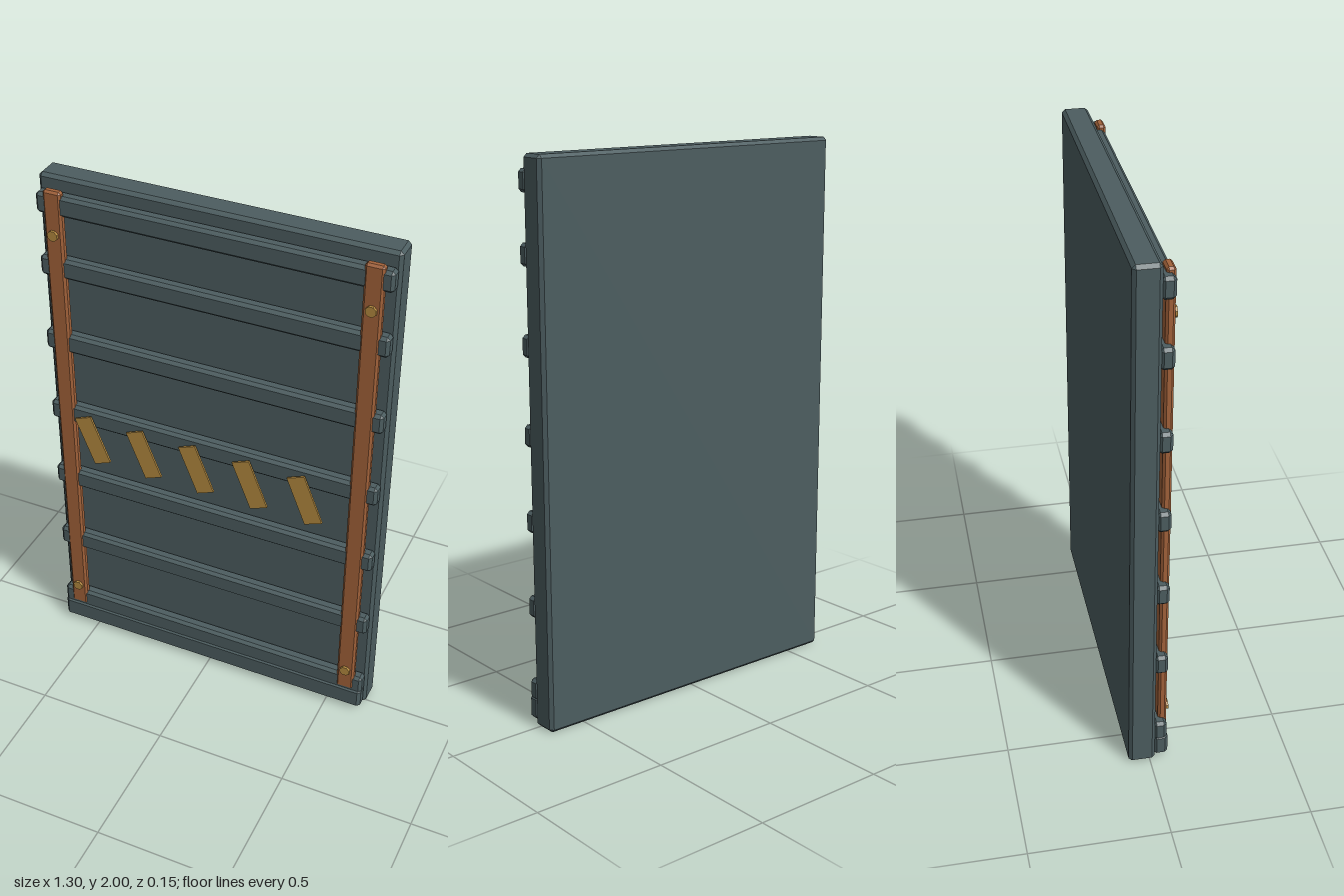
import * as THREE from 'three';
import { ConvexGeometry } from 'three/addons/geometries/ConvexGeometry.js';

const steel = new THREE.MeshStandardMaterial({ name: 'blue grey steel', color: 0x4c5d60 });
const copper = new THREE.MeshStandardMaterial({ name: 'copper', color: 0xa2623a });
const brass = new THREE.MeshStandardMaterial({ name: 'brass', color: 0xb48a40 });

// Box with a flat chamfer c on every edge, given by its limits
function chamferBox(name, material, [x0, x1], [y0, y1], [z0, z1], c) {
  const half = [(x1 - x0) / 2, (y1 - y0) / 2, (z1 - z0) / 2];
  const points = [];
  for (const sx of [-1, 1]) for (const sy of [-1, 1]) for (const sz of [-1, 1]) {
    for (let face = 0; face < 3; face++) {
      const h = half.map((v, i) => (i === face ? v : v - c));
      points.push(new THREE.Vector3(sx * h[0], sy * h[1], sz * h[2]));
    }
  }
  const mesh = new THREE.Mesh(new ConvexGeometry(points), material);
  mesh.name = name;
  mesh.position.set((x0 + x1) / 2, (y0 + y1) / 2, (z0 + z1) / 2);
  return mesh;
}

export function createModel() {
  const model = new THREE.Group();
  model.name = 'shutterPanel';

  // Backing slab
  model.add(chamferBox('backPanel', steel, [-0.648, 0.648], [0, 2], [-0.077, 0.019], 0.012));

  // Horizontal ribs across the front
  for (const y of [0.125, 0.435, 0.745, 1.05, 1.36, 1.667, 1.91]) {
    model.add(chamferBox('rib', steel, [-0.64, 0.64], [y - 0.039, y + 0.039], [0.015, 0.063], 0.011));
  }

  // Thicker bottom bar
  model.add(chamferBox('bottomBar', steel, [-0.64, 0.64], [0.012, 0.102], [0.015, 0.068], 0.012));

  // Side rails with a bolt near each end
  const boltGeometry = new THREE.CylinderGeometry(0.02, 0.02, 0.02, 8).toNonIndexed();
  boltGeometry.rotateY(Math.PI / 8).rotateX(Math.PI / 2);
  boltGeometry.computeVertexNormals();
  for (const side of [-1, 1]) {
    const x = side * 0.574;
    model.add(chamferBox('sideRail', copper, [x - 0.034, x + 0.034], [0.1, 1.965], [0.036, 0.067], 0.008));
    for (const y of [0.196, 1.8]) {
      const bolt = new THREE.Mesh(boltGeometry, brass);
      bolt.name = 'bolt';
      bolt.position.set(x, y, 0.067);
      model.add(bolt);
    }
  }

  // Slanted warning stripes across the middle
  const stripeGeometry = new THREE.BoxGeometry(0.07, 0.2, 0.008);
  for (let i = 0; i < 5; i++) {
    const stripe = new THREE.Mesh(stripeGeometry, brass);
    stripe.name = 'warningStripe';
    stripe.position.set(-0.463 + i * 0.211, 0.965, 0.073);
    stripe.rotation.z = 0.38;
    model.add(stripe);
  }

  return model;
}
